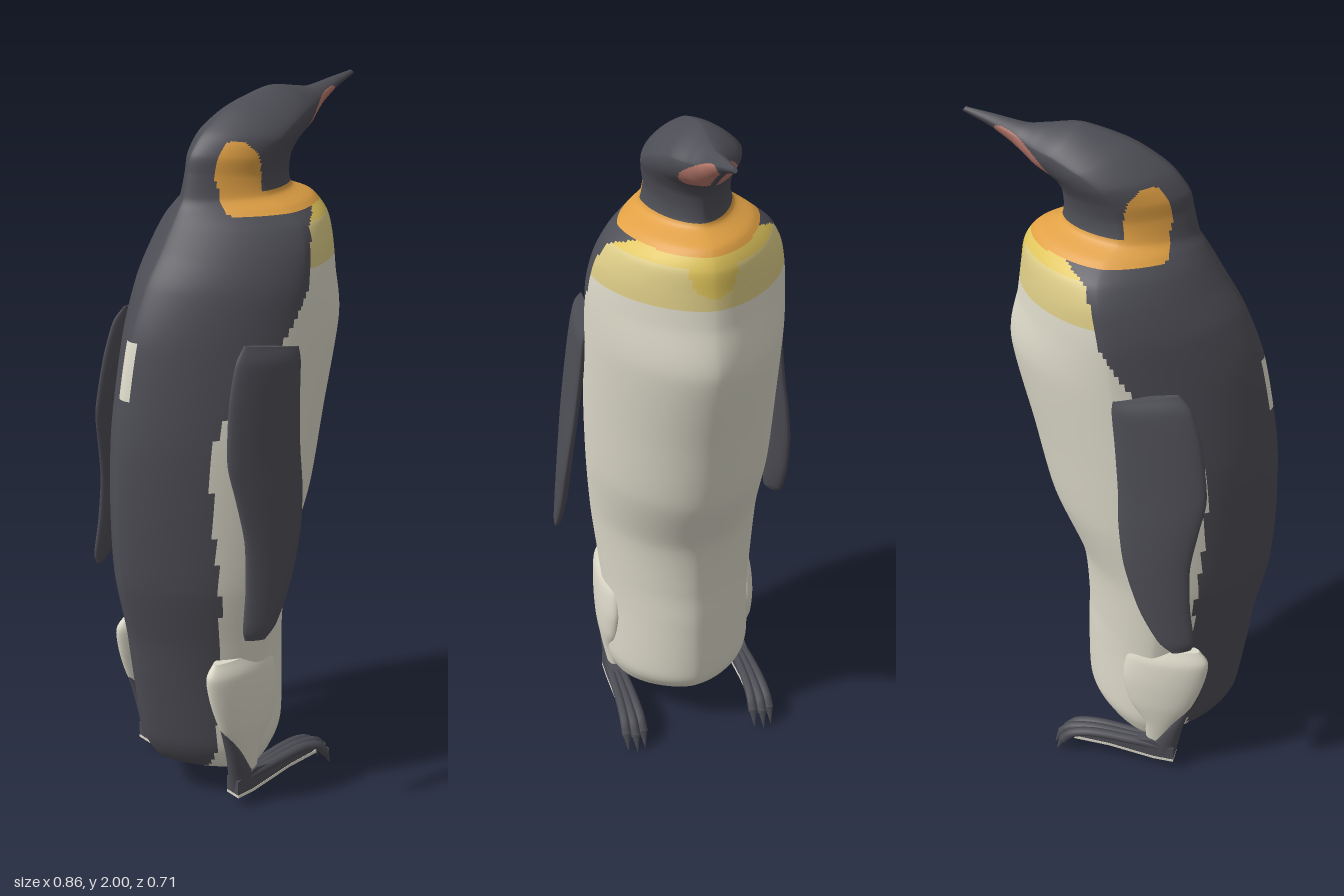
import * as THREE from 'three';

const mat = (name, color) => {
  const m = new THREE.MeshStandardMaterial({ color });
  m.name = name;
  return m;
};

// Sections run bottom to top: [backX, backY, frontX, frontY, halfWidth, centreZ].
// paint(x, y, z) returns the material index of each face.
function loft(name, sections, materials, { rows = 6, cols = 32, pBack = 2, pFront = 2, side = 1, tilt = 0, paint = () => 0, cap = 0 } = {}) {
  const back = new THREE.CatmullRomCurve3(sections.map(s => new THREE.Vector3(s[0], s[1], s[4])), false, 'catmullrom', 0.4);
  const front = new THREE.CatmullRomCurve3(sections.map(s => new THREE.Vector3(s[2], s[3], s[5] || 0)), false, 'catmullrom', 0.4);
  const n = (sections.length - 1) * rows;
  const pos = [];
  const bins = materials.map(() => []);
  const power = (v, p) => Math.sign(v) * Math.abs(v) ** (2 / p);
  for (let i = 0; i <= n; i++) {
    const b = back.getPoint(i / n), f = front.getPoint(i / n);
    for (let j = 0; j < cols; j++) {
      const a = (j / cols) * Math.PI * 2, c = Math.cos(a), s = Math.sin(a);
      const p = c < 0 ? pBack : pFront;
      const u = power(c, p);
      pos.push((b.x + f.x) / 2 + u * (f.x - b.x) / 2, (b.y + f.y) / 2 + u * (f.y - b.y) / 2,
        side * (f.z + u * tilt) + power(s, p) * b.z);
    }
  }
  for (let i = 0; i < n; i++) {
    for (let j = 0; j < cols; j++) {
      const k = (j + 1) % cols;
      const A = i * cols + j, B = A + cols, C = (i + 1) * cols + k, D = i * cols + k;
      const mid = o => (pos[A * 3 + o] + pos[B * 3 + o] + pos[C * 3 + o] + pos[D * 3 + o]) / 4;
      bins[paint(mid(0), mid(1), mid(2))].push(A, B, C, A, C, D);
    }
  }
  // End caps with their own vertices
  for (const end of [0, n]) {
    const start = pos.length / 3, sum = [0, 0, 0];
    for (let j = 0; j < cols; j++) {
      for (let o = 0; o < 3; o++) {
        const v = pos[(end * cols + j) * 3 + o];
        pos.push(v);
        sum[o] += v / cols;
      }
    }
    pos.push(...sum);
    for (let j = 0; j < cols; j++) {
      const p = start + j, q = start + (j + 1) % cols;
      bins[cap].push(start + cols, end ? q : p, end ? p : q);
    }
  }
  const g = new THREE.BufferGeometry();
  g.setAttribute('position', new THREE.Float32BufferAttribute(pos, 3));
  const index = [];
  bins.forEach((bin, m) => {
    g.addGroup(index.length, bin.length, m);
    for (const v of bin) index.push(v);
  });
  g.setIndex(index);
  g.computeVertexNormals();
  const mesh = new THREE.Mesh(g, materials.length > 1 ? materials : materials[0]);
  mesh.name = name;
  return mesh;
}

// Rear edge of the pale belly as [y, x]
const BELLY = [[0, -0.22], [0.55, -0.24], [0.9, -0.27], [1.1, -0.27], [1.25, -0.2], [1.38, -0.08],
  [1.5, 0], [1.58, 0.02], [1.66, 0.05], [1.7, 0.13]];
function bellyEdge(y) {
  const i = Math.max(1, BELLY.findIndex(p => p[0] >= y));
  const [a, b] = [BELLY[i - 1], BELLY[i]];
  return THREE.MathUtils.mapLinear(y, a[0], b[0], a[1], b[1]);
}

// 0 charcoal, 1 cream, 2 orange, 3 pale yellow, 4 yellow, 5 pink
function plumage(x, y, z) {
  const az = Math.abs(z), dx = x - 0.26, dy = y - 1.915;
  const along = dx * 0.84 + dy * 0.54, across = dy * 0.84 - dx * 0.54;
  if (Math.hypot(along / 0.09, across / 0.024) < 1 && az > 0.008) return 5;
  if (y > 1.742) return Math.hypot((x + 0.075) / 0.056, (y - 1.785) / 0.09) < 1 && az > 0.03 ? 2 : 0;
  if (y > 1.692) return x > -0.13 ? 2 : 0;
  if (x < bellyEdge(y)) return x < -0.36 && az < 0.02 && y > 1.22 && y < 1.38 ? 1 : 0;
  if (Math.hypot(z / 0.06, (y - 1.645) / 0.055) < 1 || y > 1.665) return 4;
  return y > 1.56 ? 3 : 1;
}

export function createModel() {
  const root = new THREE.Group();
  root.name = 'penguin';
  const charcoal = mat('charcoal', 0x4d4d55), cream = mat('cream', 0xdcd9c9), orange = mat('orange', 0xe0a044);
  const paleYellow = mat('paleYellow', 0xdccb86), yellow = mat('yellow', 0xe0c55c), pink = mat('pink', 0xb5776a);

  // Body, neck, head and beak in one skin
  root.add(loft('body', [
    [-0.27, 0.1, 0.04, 0.105, 0.19],
    [-0.305, 0.125, 0.08, 0.14, 0.205],
    [-0.34, 0.2, 0.112, 0.2, 0.222],
    [-0.37, 0.4, 0.115, 0.4, 0.225],
    [-0.385, 0.52, 0.112, 0.52, 0.235],
    [-0.42, 0.7, 0.13, 0.7, 0.252],
    [-0.43, 0.9, 0.215, 0.9, 0.267],
    [-0.42, 1.12, 0.265, 1.12, 0.273],
    [-0.375, 1.37, 0.32, 1.37, 0.272],
    [-0.32, 1.51, 0.295, 1.51, 0.268],
    [-0.265, 1.6, 0.282, 1.6, 0.252],
    [-0.23, 1.66, 0.272, 1.66, 0.222],
    [-0.207, 1.7, 0.24, 1.705, 0.172],
    [-0.19, 1.73, 0.175, 1.733, 0.125],
    [-0.175, 1.79, 0.165, 1.77, 0.112],
    [-0.162, 1.84, 0.17, 1.815, 0.118],
    [-0.115, 1.895, 0.19, 1.848, 0.125],
    [-0.02, 1.95, 0.21, 1.86, 0.115],
    [0.11, 1.988, 0.238, 1.873, 0.088],
    [0.2, 1.98, 0.262, 1.892, 0.058],
    [0.255, 1.974, 0.3, 1.922, 0.034],
    [0.34, 1.988, 0.355, 1.957, 0.018],
    [0.415, 2.0, 0.425, 1.988, 0.006],
  ], [charcoal, cream, orange, paleYellow, yellow, pink],
  { rows: 14, cols: 128, pBack: 1.5, pFront: 1.7, paint: plumage }));

  for (const side of [1, -1]) {
    const label = side > 0 ? 'left' : 'right';

    // Flipper
    root.add(loft(label + 'Flipper', [
      [-0.265, 0.605, -0.215, 0.603, 0.007, 0.335],
      [-0.272, 0.64, -0.175, 0.64, 0.014, 0.336],
      [-0.257, 0.75, -0.12, 0.74, 0.019, 0.33],
      [-0.252, 0.88, -0.075, 0.88, 0.021, 0.32],
      [-0.27, 1.0, -0.057, 1.0, 0.022, 0.305],
      [-0.285, 1.1, -0.052, 1.1, 0.022, 0.29],
      [-0.265, 1.25, -0.04, 1.23, 0.022, 0.274],
      [-0.235, 1.35, -0.03, 1.325, 0.019, 0.265],
      [-0.2, 1.392, -0.03, 1.363, 0.01, 0.258],
    ], [charcoal], { side, tilt: 0.012 }));

    // Feathered thigh and bare shank behind it
    root.add(loft(label + 'Thigh', [
      [-0.175, 0.1, -0.11, 0.11, 0.018, 0.2],
      [-0.2, 0.18, -0.105, 0.18, 0.023, 0.208],
      [-0.25, 0.27, -0.06, 0.26, 0.035, 0.208],
      [-0.28, 0.36, -0.04, 0.35, 0.041, 0.204],
      [-0.292, 0.44, -0.05, 0.43, 0.038, 0.2],
      [-0.265, 0.48, -0.075, 0.48, 0.022, 0.195],
    ], [cream], { side }));
    root.add(loft(label + 'Shank', [
      [-0.2, 0.045, -0.13, 0.06, 0.024, 0.2],
      [-0.21, 0.1, -0.13, 0.1, 0.026, 0.2],
      [-0.225, 0.18, -0.17, 0.18, 0.022, 0.205],
      [-0.252, 0.28, -0.22, 0.27, 0.01, 0.207],
    ], [charcoal], { side }));

    // Foot: web, pale sole, three toes with claws
    const foot = new THREE.Group();
    foot.name = label + 'Foot';
    foot.position.z = side * 0.2;
    const profile = (name, points, depth, material) => {
      const g = new THREE.ExtrudeGeometry(new THREE.Shape(points.map(p => new THREE.Vector2(...p))), { depth, bevelEnabled: false });
      const m = new THREE.Mesh(g.translate(0, 0, -depth / 2), material);
      m.name = name;
      foot.add(m);
    };
    profile('web', [[-0.2, 0.046], [-0.14, 0.046], [0, 0.066], [0.1, 0.07], [0.1, 0.09], [0.05, 0.1], [-0.06, 0.1], [-0.13, 0.11], [-0.2, 0.09]], 0.048, charcoal);
    profile('sole', [[-0.2, 0.037], [-0.14, 0.037], [0, 0.057], [0.11, 0.06], [0.11, 0.07], [0, 0.066], [-0.14, 0.046], [-0.2, 0.046]], 0.05, cream);
    for (const t of [-1, 0, 1]) {
      const reach = t === 0 ? 0.012 : 0;
      const path = new THREE.CatmullRomCurve3([
        [-0.15, 0.085, 0.012 * t], [-0.05, 0.095, 0.018 * t], [0.06, 0.098, 0.022 * t],
        [0.12 + reach, 0.08, 0.025 * t], [0.145 + reach, 0.05, 0.026 * t],
      ].map(p => new THREE.Vector3(...p)));
      const toe = new THREE.Mesh(new THREE.TubeGeometry(path, 16, 0.014, 8), charcoal);
      toe.name = 'toe';
      const claw = new THREE.Mesh(new THREE.ConeGeometry(0.0135, 0.06, 8), charcoal);
      claw.name = 'claw';
      claw.position.set(0.155 + reach, 0.03, 0.026 * t);
      claw.rotation.z = Math.PI + 0.4;
      foot.add(toe, claw);
    }
    root.add(foot);
  }
  return root;
}
